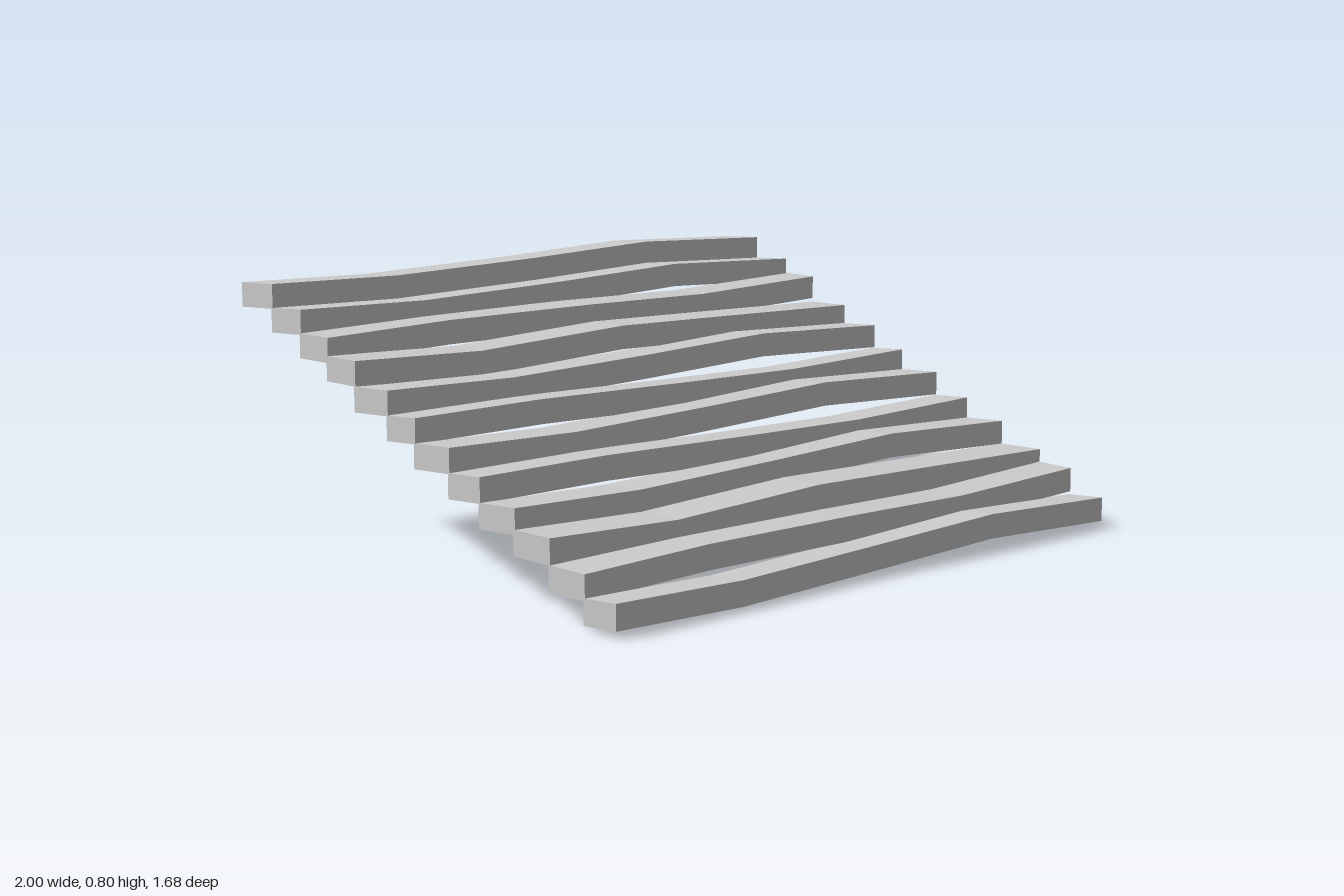
import * as THREE from 'three';

// Stations along each plank, and how each warp kind bends there
const STATIONS = [-1, -0.55, 0, 0.48, 0.99];
const KINDS = {
  a: { y: [0, -0.01, 0, 0.02, 0], z: [0, 0.005, -0.015, -0.006, 0], tilt: 0.008, skew: 0 },
  b: { y: [0, 0.003, -0.006, -0.016, -0.005], z: [0, 0.003, 0.016, 0.005, 0], tilt: 0.008, skew: 0 },
  c: { y: [0.004, -0.01, 0.014, 0.003, -0.01], z: [0, 0.01, 0.015, 0.01, 0.004], tilt: 0, skew: 1 },
  d: { y: [-0.006, 0.004, 0.003, -0.004, 0.013], z: [0, -0.008, -0.004, -0.003, 0], tilt: 0, skew: -1 },
};

// Plank order from the lowest front one to the highest rear one
const ORDER = 'adcababacdaa';
const FRONT_Z = [0.83, 0.71, 0.572, 0.43, 0.284, 0.153, 0.003, -0.12, -0.27, -0.4, -0.53, -0.67];
const HEIGHT = 0.073, DEPTH = 0.15, RISE = 0.0625;

function plankGeometry(kind, topY, frontZ, backZ) {
  const g = new THREE.BoxGeometry(1, 1, 1, STATIONS.length - 1, 1, 1);
  const p = g.attributes.position;
  for (let i = 0; i < p.count; i++) {
    const s = Math.round((p.getX(i) + 0.5) * (STATIONS.length - 1));
    const top = p.getY(i) > 0, front = p.getZ(i) > 0;
    let x = STATIONS[s];
    // some planks have a slightly skewed right-hand end
    if (s === STATIONS.length - 1 && kind.skew) x = front === kind.skew > 0 ? 1 : 0.986;
    const y = topY - (top ? 0 : HEIGHT) + kind.y[s] - (front ? 0 : kind.tilt);
    const z = (front ? frontZ : backZ) + kind.z[s];
    p.setXYZ(i, x, y, z);
  }
  g.computeVertexNormals();
  return g;
}

export function createModel() {
  const group = new THREE.Group();
  group.name = 'plankSteps';
  const material = new THREE.MeshStandardMaterial({ color: 0xcccccc, flatShading: true });

  // Overlapping planks climbing towards the back
  [...ORDER].forEach((k, i) => {
    const next = FRONT_Z[i + 1] ?? FRONT_Z[i] - DEPTH;
    const geometry = plankGeometry(KINDS[k], 0.093 + i * RISE, FRONT_Z[i], next - 0.006);
    const plank = new THREE.Mesh(geometry, material);
    plank.name = `plank${i + 1}`;
    group.add(plank);
  });
  return group;
}
